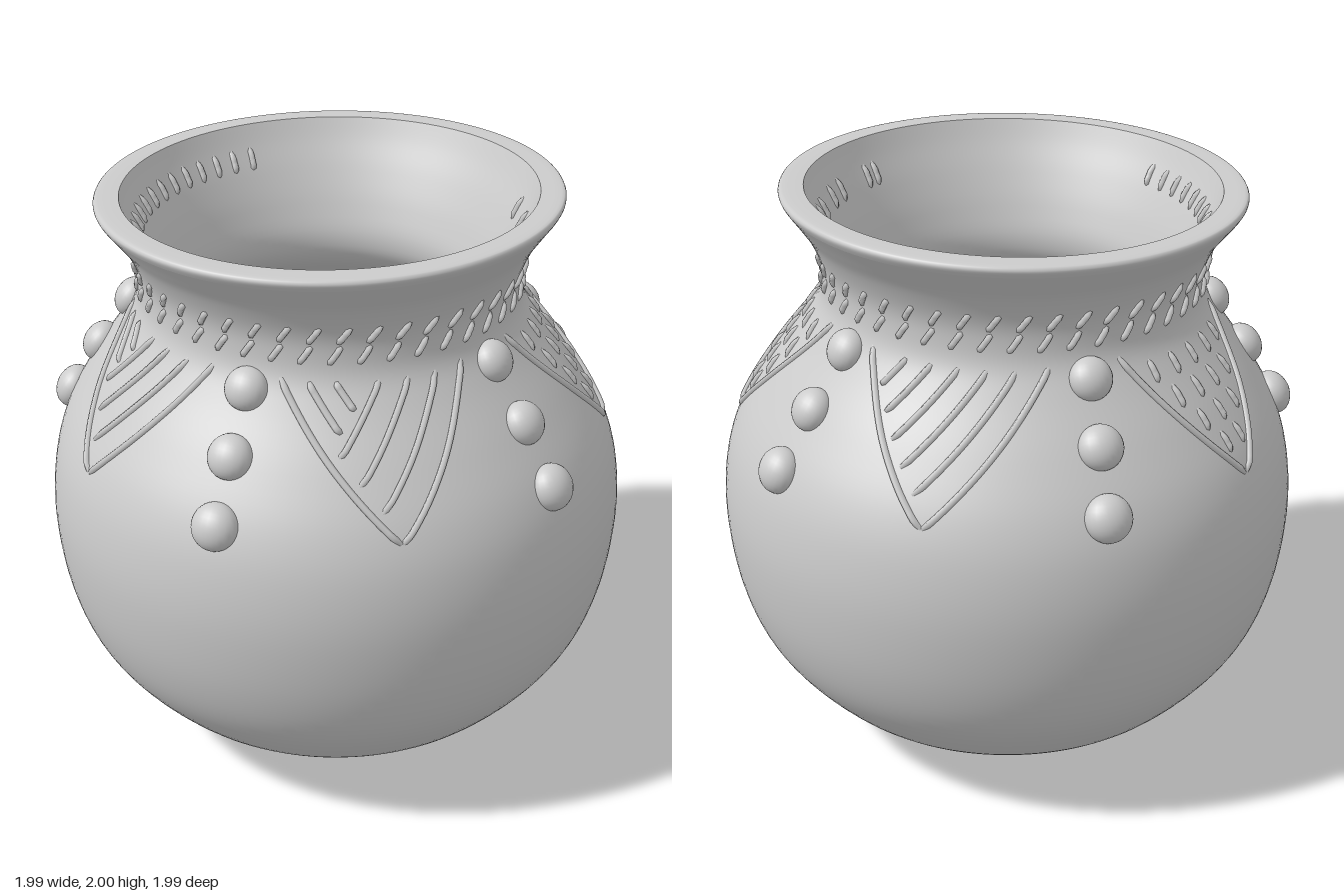
import * as THREE from 'three';
import { mergeGeometries } from 'three/addons/utils/BufferGeometryUtils.js';

const rad = THREE.MathUtils.degToRad;
const smooth = THREE.MathUtils.smoothstep;

// Profiles as [radius, height]
const curve = (pts, n) => new THREE.SplineCurve(pts.map(([r, y]) => new THREE.Vector2(r, y))).getPoints(n);
const outer = curve([
  [0, 0], [0.25, 0.01], [0.47, 0.065], [0.62, 0.14], [0.74, 0.22], [0.89, 0.41], [0.965, 0.61],
  [0.993, 0.85], [0.975, 1.05], [0.92, 1.21], [0.82, 1.37], [0.71, 1.52], [0.655, 1.61], [0.64, 1.69],
  [0.647, 1.76], [0.68, 1.84], [0.72, 1.9], [0.757, 1.95],
], 90);
const rim = curve([[0.757, 1.95], [0.767, 1.968], [0.766, 1.98], [0.752, 1.988], [0.685, 1.988]], 12);
const inner = curve([
  [0.685, 1.988], [0.655, 1.92], [0.605, 1.82], [0.555, 1.7], [0.525, 1.58], [0.56, 1.48], [0.7, 1.35],
  [0.83, 1.15], [0.89, 0.85], [0.83, 0.5], [0.68, 0.29], [0.45, 0.15], [0.2, 0.1], [0, 0.1],
], 70);

// Radius of a profile at height y
function radiusAt(profile, y) {
  for (let i = 1; i < profile.length; i++) {
    const a = profile[i - 1], b = profile[i];
    if ((a.y - y) * (b.y - y) <= 0 && a.y !== b.y) {
      return a.x + (b.x - a.x) * (y - a.y) / (b.y - a.y);
    }
  }
  return profile[profile.length - 1].x;
}

// Slight hand-made lean of the neck and tilt of the mouth
function lean(v) {
  v.y += 0.016 * v.x * smooth(v.y, 1.75, 1.98);
  v.x -= 0.022 * smooth(v.y, 1.0, 1.7);
  return v;
}

// Point on the wall at an angle in degrees (0 = front, 90 = +x)
function onWall(profile, angle, y, lift = 0) {
  const r = radiusAt(profile, y) + lift, a = rad(angle);
  return lean(new THREE.Vector3(r * Math.sin(a), y, r * Math.cos(a)));
}

// Raised line following the wall between two [angle, y] points, ends sunk in
function stroke(from, to, { width = 0.011, steps = 10, profile = outer, side = 1 } = {}) {
  const pts = [];
  for (let i = 0; i <= steps; i++) {
    const t = i / steps;
    const end = i === 0 || i === steps;
    pts.push(onWall(profile, from[0] + (to[0] - from[0]) * t, from[1] + (to[1] - from[1]) * t,
      side * (end ? -0.012 : 0.002)));
  }
  return new THREE.TubeGeometry(new THREE.CatmullRomCurve3(pts), steps * 2, width, 6);
}

export function createModel() {
  const group = new THREE.Group();
  const clay = new THREE.MeshStandardMaterial({ color: 0xcccccc });
  const add = (name, geometry) => {
    const mesh = new THREE.Mesh(geometry, clay);
    mesh.name = name;
    group.add(mesh);
    return mesh;
  };

  // Pot walls
  for (const [name, profile] of [['outerWall', outer], ['rim', rim], ['innerWall', inner]]) {
    const geo = new THREE.LatheGeometry(profile, 128);
    const pos = geo.attributes.position, v = new THREE.Vector3();
    for (let i = 0; i < pos.count; i++) {
      lean(v.fromBufferAttribute(pos, i));
      pos.setXYZ(i, v.x, v.y, v.z);
    }
    add(name, geo);
  }

  // Two rows of slanted dashes round the neck
  const neck = [];
  const perRow = 44;
  for (let i = 0; i < perRow; i++) {
    const a = i * 360 / perRow;
    for (const [y, shift] of [[1.757, 2.5], [1.688, 0]]) {
      neck.push(stroke([a + shift - 1.7, y - 0.028], [a + shift + 1.7, y + 0.028], { steps: 4 }));
    }
  }
  add('neckDashes', mergeGeometries(neck));

  // Short dashes inside the mouth
  const mouthAngles = [58, 62, 77, 84, 95, 101, 112];
  for (let i = 0; i < 16; i++) mouthAngles.push(221 + i * 6.5);
  add('mouthDashes', mergeGeometries(mouthAngles.map((a) =>
    stroke([a, 1.835], [a, 1.905], { steps: 4, profile: inner, side: -1 }))));

  // Hanging triangles with line or dash filling
  const top = 1.61, tip = 1.18, half = 26;
  for (let k = 0; k < 5; k++) {
    const centre = 27.5 + 72 * k;
    // a runs from the tip along the left edge, b along the right edge
    const at = (a, b) => [centre + half * (b - a), tip + (top - tip) * (a + b)];
    const lines = [stroke(at(0, 0), at(1, 0), { steps: 16 }), stroke(at(0, 0), at(0, 1), { steps: 16 })];
    if (k === 1 || k === 3) {
      [5, 4, 3, 2].forEach((count, row) => {
        const h = 0.85 - row * 0.195;
        for (let i = 0; i < count; i++) {
          const b = h * (i + 0.75) / (count + 0.5);
          const [angle, y] = at(h - b, b);
          lines.push(stroke([angle - 0.4, y + 0.03], [angle + 0.4, y - 0.03], { steps: 4 }));
        }
      });
    } else if (k === 2) {
      for (const a of [0.16, 0.31, 0.46, 0.61, 0.76]) lines.push(stroke(at(a, 0.04), at(a, 0.98 - a)));
    } else {
      for (const [a, b] of [[0.16, 0.04], [0.32, 0.05], [0.48, 0.06]]) lines.push(stroke(at(a, b), at(a, 0.98 - a)));
      for (const b of [0.14, 0.28]) lines.push(stroke(at(0.54, b), at(0.98 - b, b)));
    }
    add('triangle' + (k + 1), mergeGeometries(lines));
  }

  // Five columns of three knobs
  const knob = new THREE.SphereGeometry(1, 24, 16);
  for (let k = 0; k < 5; k++) {
    [[1.57, 0.07], [1.395, 0.073], [1.21, 0.077]].forEach(([y, size], row) => {
      const angle = -7.5 + 72 * k - row * 0.6;
      const mesh = add('knob', knob);
      const p = onWall(outer, angle, y);
      const slope = (radiusAt(outer, y - 0.03) - radiusAt(outer, y + 0.03)) / 0.06;
      const normal = new THREE.Vector3(Math.sin(rad(angle)), slope, Math.cos(rad(angle)));
      mesh.position.copy(p);
      mesh.lookAt(p.clone().add(normal));
      mesh.scale.set(size, size, size * 0.8);
    });
  }
  return group;
}
